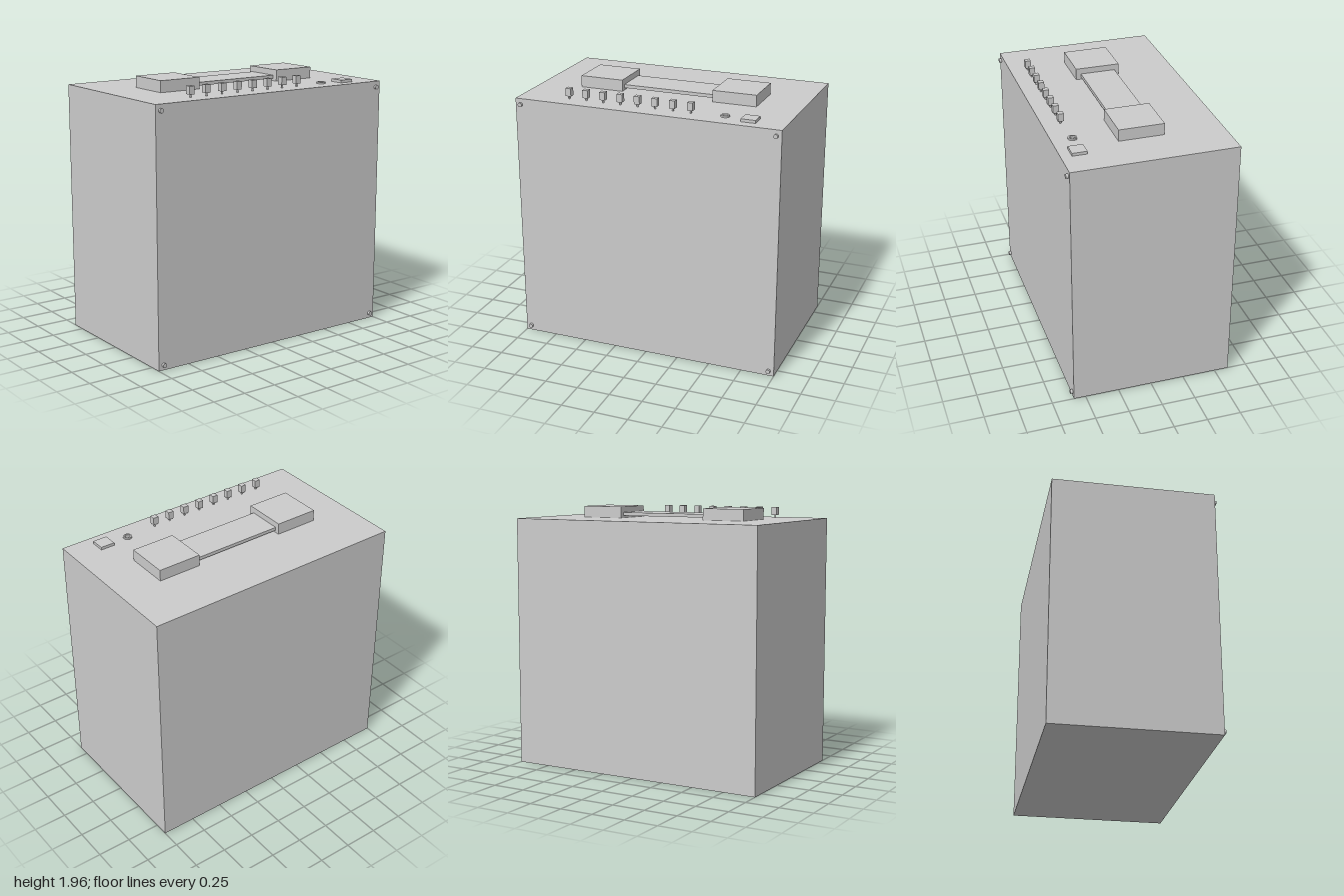
import * as THREE from 'three';

export function createModel() {
  const model = new THREE.Group();
  const grey = new THREE.MeshStandardMaterial({ color: 0xcccccc });
  const top = 1.87, front = 0.588, back = -0.605;

  const add = (name, geometry, x, y, z, parent = model) => {
    const mesh = new THREE.Mesh(geometry, grey);
    mesh.name = name;
    mesh.position.set(x, y, z);
    parent.add(mesh);
    return mesh;
  };
  // Box given by its limits on each axis
  const box = (name, x0, x1, y0, y1, z0, z1, parent) =>
    add(name, new THREE.BoxGeometry(x1 - x0, y1 - y0, z1 - z0),
      (x0 + x1) / 2, (y0 + y1) / 2, (z0 + z1) / 2, parent);

  // Cabinet
  box('cabinet', -1, 1, 0, top, back, front);

  // Carrying handle: two end blocks and a flat strap held clear of the lid
  const handle = new THREE.Group();
  handle.name = 'handle';
  model.add(handle);
  box('handleBlockLeft', 0.35, 0.68, top, 1.955, -0.175, 0.155, handle);
  box('handleBlockRight', -0.68, -0.35, top, 1.955, -0.175, 0.155, handle);
  box('handleStrap', -0.35, 0.35, 1.887, 1.912, -0.142, 0.118, handle);

  // Row of eight toggle switches, each a thin stem with a square cap
  for (let i = 0; i < 8; i++) {
    const toggle = new THREE.Group();
    toggle.name = `toggleSwitch${i + 1}`;
    toggle.position.set(-0.632 + i * 0.1333, top, 0.457);
    add('switchStem', new THREE.CylinderGeometry(0.007, 0.007, 0.024, 12), 0, 0.012, 0, toggle);
    box('switchCap', -0.021, 0.021, 0.022, 0.08, -0.021, 0.021, toggle);
    model.add(toggle);
  }

  // Ring socket, open in the middle
  const ring = [[0.02, 0], [0.032, 0], [0.032, 0.012], [0.02, 0.012], [0.02, 0]];
  const corners = ring.map(([r, y]) => new THREE.Vector2(r, y));
  for (let i = 0; i < 4; i++) {
    add('socketRing', new THREE.LatheGeometry([corners[i], corners[i + 1]], 32), 0.548, top, 0.44);
  }

  // Square push button
  box('pushButton', 0.682, 0.79, top, 1.891, 0.405, 0.512);

  // Screws at the corners of the front
  for (const x of [-0.96, 0.96]) {
    for (const y of [0.038, 1.826]) {
      add('cornerScrew', new THREE.CylinderGeometry(0.016, 0.016, 0.022, 20), x, y, front + 0.007)
        .rotation.x = Math.PI / 2;
    }
  }
  return model;
}
